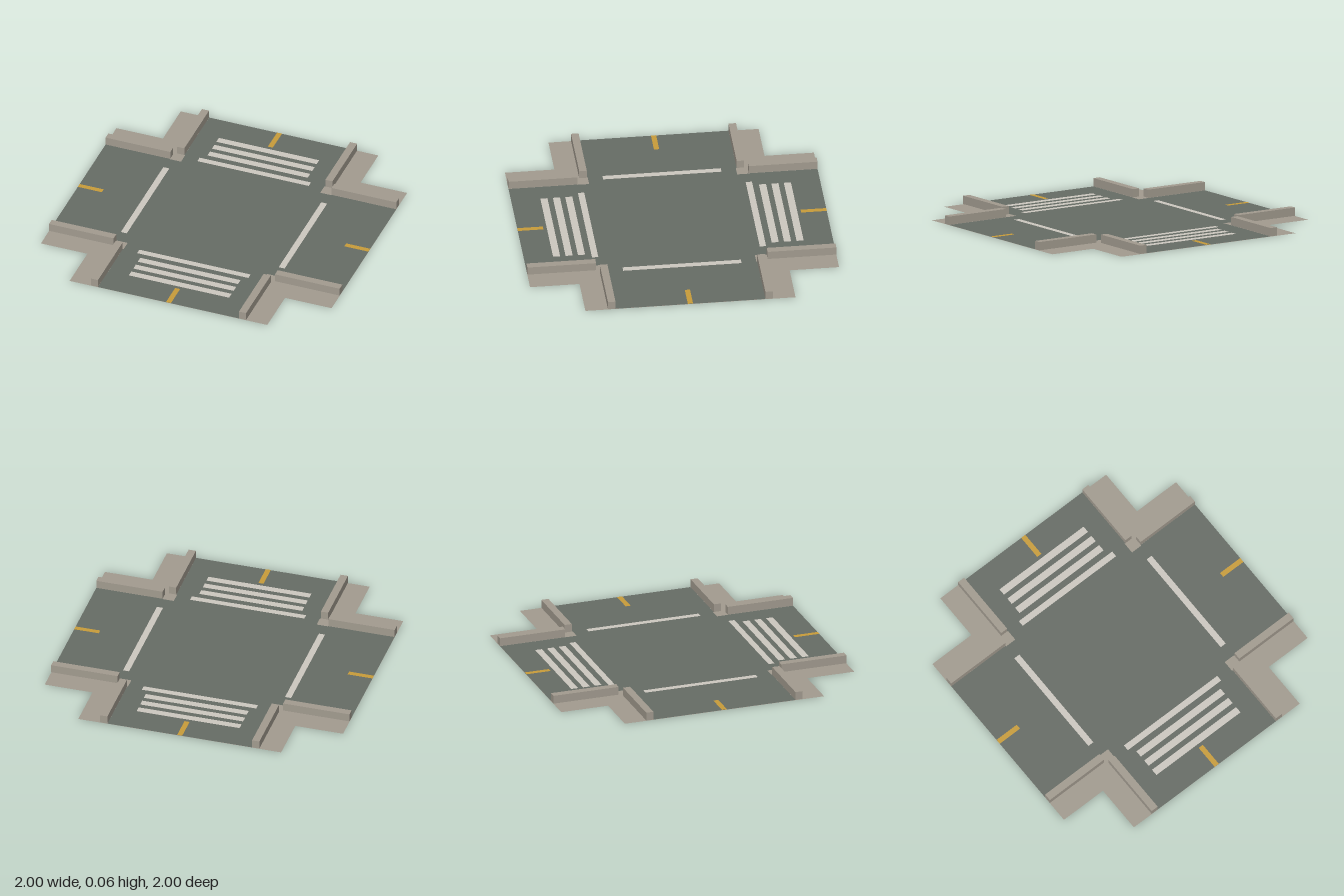
import * as THREE from 'three';

const mat = (name, color, side = THREE.FrontSide) => {
  const m = new THREE.MeshStandardMaterial({ color, side });
  m.name = name;
  return m;
};

// plus-shaped outline, arms reaching 1 with the given half width
function crossShape(w) {
  const pts = [];
  for (let i = 0; i < 4; i++) {
    const c = Math.round(Math.cos(i * Math.PI / 2)), s = Math.round(Math.sin(i * Math.PI / 2));
    for (const [x, y] of [[1, -w], [1, w], [w, w]]) pts.push(new THREE.Vector2(x * c - y * s, x * s + y * c));
  }
  return new THREE.Shape(pts);
}

export function createModel() {
  const group = new THREE.Group();
  group.name = 'crossroads';
  const concrete = mat('concrete', 0xa39c90, THREE.DoubleSide);
  const asphalt = mat('asphalt', 0x676d66, THREE.DoubleSide);
  const whitePaint = mat('white paint', 0xcec9c1, THREE.DoubleSide);
  const yellowPaint = mat('yellow paint', 0xc99d3a, THREE.DoubleSide);

  const add = (name, geometry, material, x = 0, y = 0, z = 0) => {
    const m = new THREE.Mesh(geometry, material);
    m.name = name;
    m.position.set(x, y, z);
    group.add(m);
    return m;
  };
  // flat layer lying on the ground, facing up
  const flat = (name, geometry, material, x, y, z) =>
    add(name, geometry.rotateX(-Math.PI / 2), material, x, y, z);

  // ground layers
  flat('pavement', new THREE.ShapeGeometry(crossShape(0.68)), concrete, 0, 0, 0);
  flat('road', new THREE.ShapeGeometry(crossShape(0.485)), asphalt, 0, 0.0015, 0);
  flat('manholeCover', new THREE.CircleGeometry(0.094, 32), asphalt, 0.16, 0.003, 0.14);

  // kerbs and low corner slabs in each quadrant
  for (const sx of [-1, 1]) for (const sz of [-1, 1]) {
    add('kerbAlongX', new THREE.BoxGeometry(0.445, 0.054, 0.049), concrete, sx * 0.7775, 0.029, sz * 0.5095);
    add('kerbAlongZ', new THREE.BoxGeometry(0.049, 0.054, 0.445), concrete, sx * 0.5095, 0.029, sz * 0.7775);
    flat('cornerSlab', new THREE.PlaneGeometry(0.076, 0.076), concrete, sx * 0.517, 0.003, sz * 0.517);
  }

  // road markings on each side
  for (const s of [-1, 1]) {
    for (const z of [0.627, 0.707, 0.788])
      flat('crossingStripe', new THREE.PlaneGeometry(0.69, 0.046), whitePaint, 0, 0.003, s * z);
    flat('stopLineZ', new THREE.PlaneGeometry(0.766, 0.041), whitePaint, 0, 0.003, s * 0.543);
    flat('stopLineX', new THREE.PlaneGeometry(0.041, 0.766), whitePaint, s * 0.543, 0.003, 0);
    flat('centreDashZ', new THREE.PlaneGeometry(0.034, 0.166), yellowPaint, 0, 0.003, s * 0.917);
    flat('centreDashX', new THREE.PlaneGeometry(0.166, 0.034), yellowPaint, s * 0.917, 0.003, 0);
  }
  return group;
}
